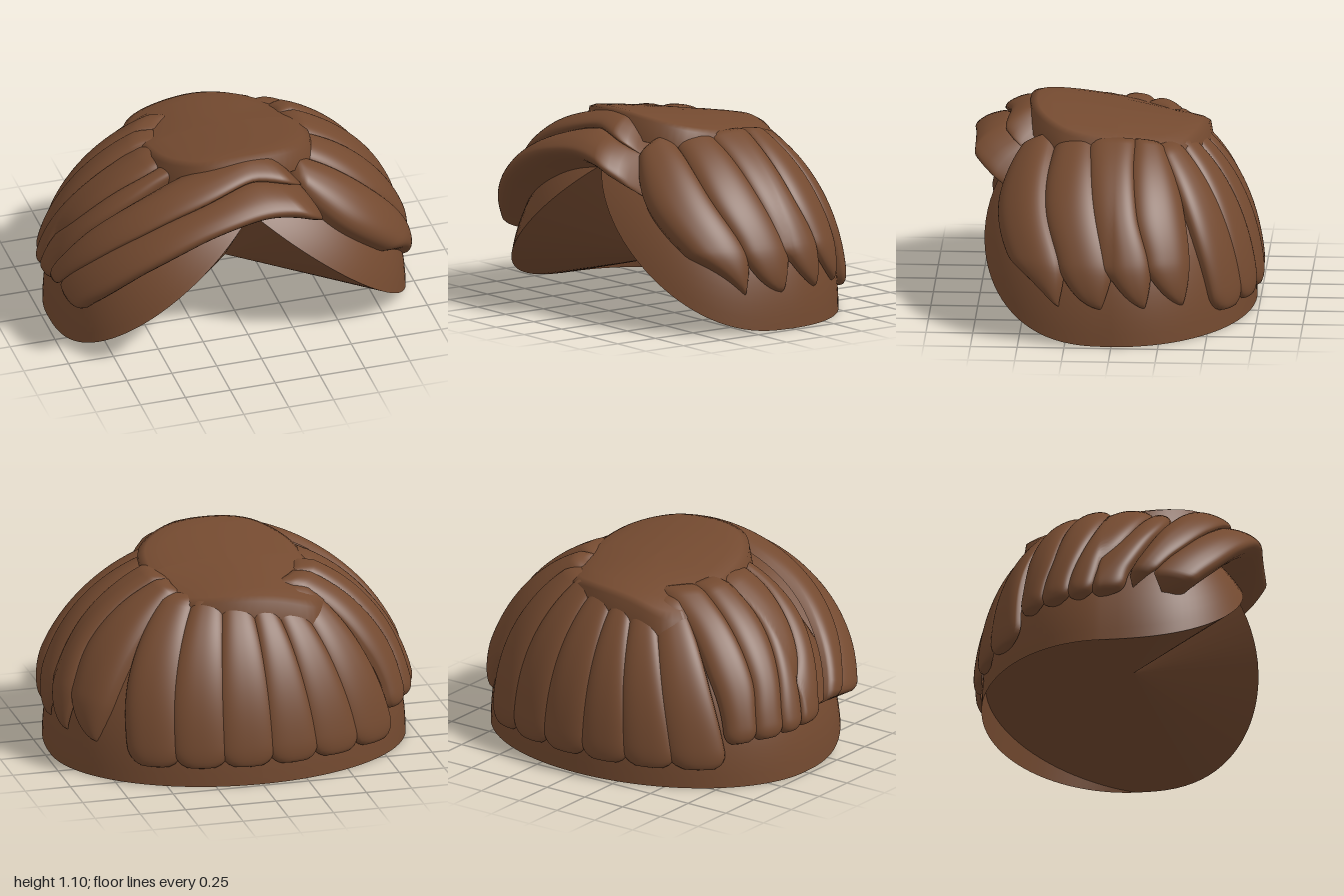
import * as THREE from 'three';

const RX = 0.97, RY = 1.02, RZ_FRONT = 0.85, RZ_BACK = 0.73;
const rad = THREE.MathUtils.degToRad;
const lerp = THREE.MathUtils.lerp;
const ring = y => Math.sqrt(Math.max(0, 1 - (y / RY) ** 2.2));

// Point on the head at an angle (0 = left, 90 = front) and height, pushed out by k; the front is fuller
function onHead(angle, y, k = 1) {
  const s = Math.sin(angle);
  const z = s > 0 ? RZ_FRONT * s ** 0.75 : RZ_BACK * s;
  return new THREE.Vector3(RX * ring(y) * Math.cos(angle) * k, y * k, z * ring(y) * k);
}

// Hairline: level round the back, rising to a peak over the forehead
function hairline(angle) {
  if (Math.sin(angle) <= 0) return 0;
  let y = 0.3;
  for (let i = 0; i < 40; i++) y = 0.5 * y + 0.4 * (1 - ring(y) * Math.abs(Math.cos(angle)));
  return y;
}

// Smooth sheet sampled from fn(u, v); its front is outward when u runs with the angle and v up
function sheet(nu, nv, fn) {
  const pos = [], idx = [];
  for (let j = 0; j <= nv; j++) {
    for (let i = 0; i <= nu; i++) pos.push(...fn(i / nu, j / nv).toArray());
  }
  for (let j = 0; j < nv; j++) {
    for (let i = 0; i < nu; i++) {
      const a = j * (nu + 1) + i, c = a + nu + 1;
      idx.push(a, c, a + 1, a + 1, c, c + 1);
    }
  }
  const g = new THREE.BufferGeometry();
  g.setAttribute('position', new THREE.Float32BufferAttribute(pos, 3));
  g.setIndex(idx);
  g.computeVertexNormals();
  return g;
}

// One lock between two edge paths of [degrees, height]; it overlaps its neighbours a little,
// swells in the middle (floor sets how much at each edge), can bulge forward, and closes at the tip
function lockGeometry(edgeA, edgeB, {
  thick = 0.085, base = 0.99, tip = 0.5, taper = 0.85, pointed = false,
  forward = 0, ease = 0.1, overlap = 0.08, floor = [0.35, 0.35],
} = {}) {
  const [a, b] = [edgeA, edgeB].map(e => new THREE.SplineCurve(e.map(p => new THREE.Vector2(...p))));
  return sheet(24, 40, (u, v) => {
    const s = 1 - v;
    const q = Math.max(0, (s - taper) / (1 - taper));
    const f = pointed ? 1 - q ** 1.4 : Math.sqrt(Math.max(0, 1 - q * q));
    const wide = -overlap + u * (1 + 2 * overlap);
    const p = a.getPoint(s).lerp(b.getPoint(s), tip + (wide - tip) * f);
    const bump = Math.sqrt(Math.max(0, 1 - Math.abs(2 * u - 1) ** 2.6));
    const swell = lerp(lerp(...floor, u), 1, bump) * Math.sqrt(f) * Math.sqrt(Math.min(1, s / ease));
    const point = onHead(rad(p.x), p.y, base + thick * swell);
    point.z += forward * swell * Math.max(0, Math.sin(rad(p.x)));
    return point;
  });
}

export function createModel() {
  const group = new THREE.Group();
  const hair = new THREE.MeshStandardMaterial({ color: 0x744a30, side: THREE.DoubleSide });
  hair.name = 'brown hair';
  const add = (name, geometry) => {
    const m = new THREE.Mesh(geometry, hair);
    m.name = name;
    group.add(m);
  };

  // Scalp shell, seam at the back
  const turn = u => -Math.PI / 2 + u * Math.PI * 2;
  add('scalpShell', sheet(120, 24, (u, v) => {
    const t0 = Math.asin(hairline(turn(u)) / RY);
    return onHead(turn(u), RY * Math.sin(t0 + v * (Math.PI / 2 - t0)));
  }));

  // Hollow underside: short inner wall at the back, then a cone to the middle
  const centre = new THREE.Vector3(0, 0.25, 0.08);
  add('underside', sheet(120, 3, (u, v) => {
    const angle = turn(1 - u), row = Math.round(v * 3);
    const p = onHead(angle, hairline(angle));
    if (row === 3) return centre.clone();
    if (row > 0 && Math.sin(angle) < 0) {
      p.multiplyScalar(1 + 0.03 * Math.sin(angle));
      p.y = -0.14 * Math.sin(angle);
    }
    return p;
  }));

  // Tilted crown patch with a short skirt
  const outline = new THREE.CatmullRomCurve3([
    [0.44, 0], [0.41, 0.28], [0.25, 0.43], [0, 0.48], [-0.25, 0.44], [-0.4, 0.26],
    [-0.45, 0], [-0.47, -0.25], [-0.38, -0.44], [-0.15, -0.47], [0.12, -0.44], [0.34, -0.32],
  ].map(([x, z]) => new THREE.Vector3(x, 0, z)), true);
  const rows = [[1.04, -0.13], [1, -0.015], [0.92, 0], [0.75, 0.004], [0.5, 0.006], [0.25, 0.006], [0, 0.006]];
  add('crown', sheet(72, rows.length - 1, (u, v) => {
    const [r, drop] = rows[Math.round(v * (rows.length - 1))];
    const p = outline.getPoint(u % 1).multiplyScalar(r);
    p.y = 1.03 + 0.155 * p.z - (0.25 + Math.max(0, -p.z) * 0.7) * p.x * p.x + drop;
    return p;
  }));

  // Swept fringe over the forehead
  const fringeTop = [[57, 0.86], [90, 0.92], [124, 0.83], [146, 0.68], [162, 0.48], [170, 0.32]];
  add('fringe', lockGeometry(
    [[58, 0.7], [73, 0.77], [90, 0.79], [112, 0.73], [133, 0.58], [150, 0.38], [157, 0.28]],
    fringeTop, {
      thick: 0.11, forward: 0.2, base: 1, taper: 0.92, ease: 0.1, overlap: 0.03, floor: [0, 0.75],
    }));

  // Second sweep behind the fringe
  const sweepTop = [[60, 0.97], [90, 0.99], [124, 0.95], [146, 0.86], [164, 0.65], [176, 0.32]];
  add('secondSweep', lockGeometry(fringeTop, sweepTop, {
    thick: 0.12, forward: 0.18, base: 1, taper: 0.92, ease: 0.08, overlap: 0.05, floor: [0.8, 0.6],
  }));

  // Rounded locks on the right side
  const rightEdges = [
    [[124, 0.96], [146, 0.86], [164, 0.65], [174, 0.42], [176, 0.27]],
    [[146, 0.97], [166, 0.8], [178, 0.55], [182, 0.38], [184, 0.26]],
    [[179, 0.97], [182, 0.8], [189, 0.55], [193, 0.38], [194, 0.25]],
    [[208, 0.96], [204, 0.8], [203, 0.55], [205, 0.38], [206, 0.24]],
    [[240, 0.95], [225, 0.8], [219, 0.55], [217, 0.38], [217, 0.23]],
  ];
  for (let i = 0; i < 4; i++) {
    add('rightLock' + (i + 1), lockGeometry(rightEdges[i], rightEdges[i + 1]));
  }

  // Pointed locks on the left side, tips swept backward
  const leftEdges = [
    [[-44, 0.93], [-40, 0.82], [-37, 0.62], [-35, 0.4], [-32, 0.19]],
    [[-20, 0.96], [-13, 0.85], [-12, 0.65], [-16, 0.42], [-15, 0.2]],
    [[17, 0.96], [9, 0.85], [4, 0.65], [1, 0.42], [1, 0.2]],
    [[53, 0.96], [36, 0.85], [24, 0.65], [14, 0.42], [13, 0.2]],
    [[64, 0.87], [58, 0.75], [50, 0.61], [35, 0.42], [24, 0.29]],
  ];
  for (let i = 0; i < 4; i++) {
    const front = i === 3;
    add('leftLock' + (i + 1), lockGeometry(leftEdges[i], leftEdges[i + 1], {
      tip: 0.05, taper: 0.76, pointed: true, thick: front ? 0.1 : 0.085,
      forward: front ? 0.05 : 0, floor: [i ? 0.35 : 0, front ? 0 : 0.35],
    }));
  }

  // Long rounded locks down the back
  const topAngles = [226, 243, 256, 268, 284, 302, 324];
  const endAngles = [218, 236, 252, 267, 282, 297, 313];
  const backEdge = i => [0.93, 0.75, 0.5, 0.3, 0.1].map((y, k) =>
    [lerp(topAngles[i], endAngles[i], k / 4), y]);
  for (let i = 0; i < 6; i++) {
    add('backLock' + (i + 1), lockGeometry(backEdge(i), backEdge(i + 1),
      { thick: 0.08, floor: [0.35, i === 5 ? 0 : 0.35] }));
  }
  return group;
}
